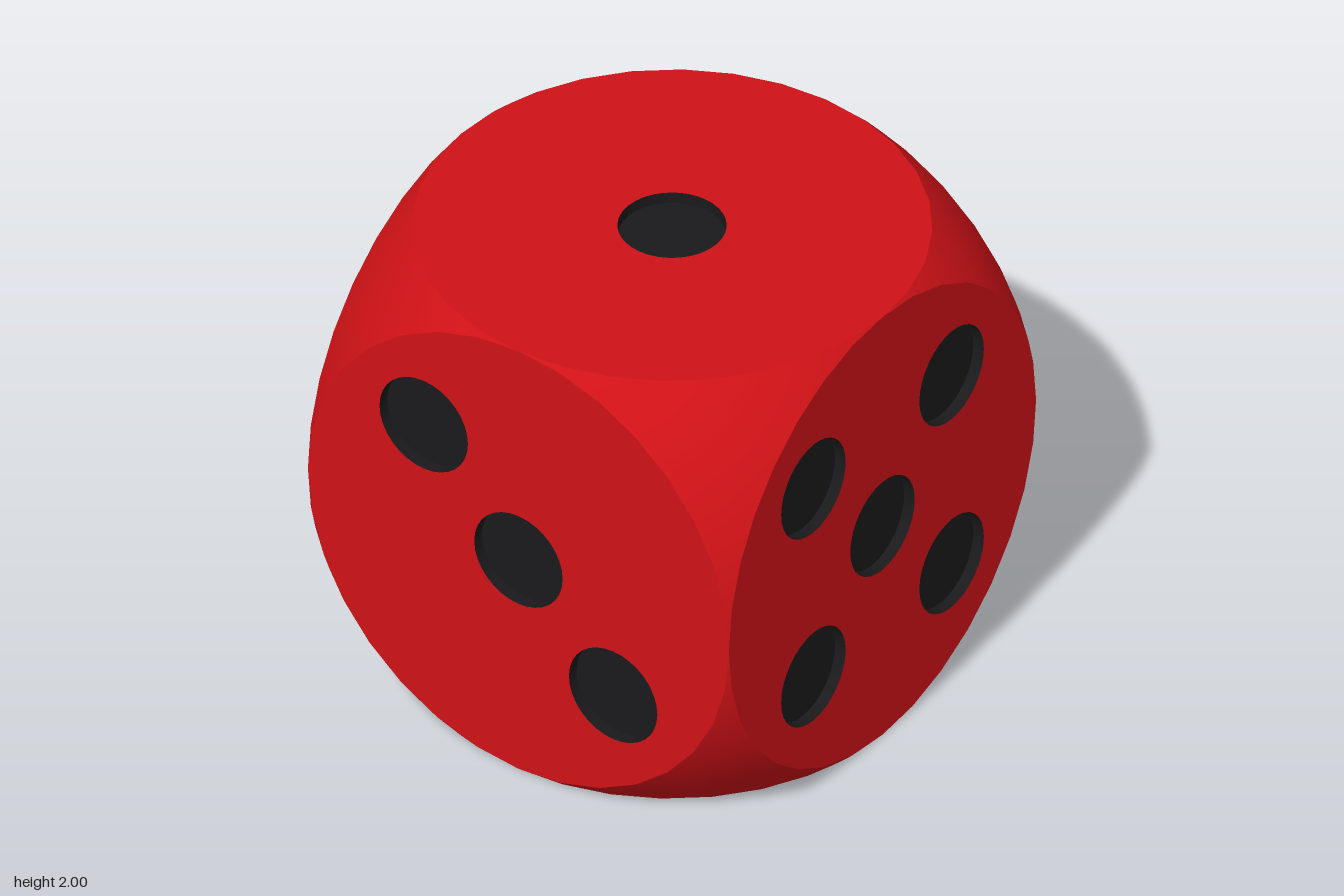
import * as THREE from 'three';

const SIDES = 32, PIP_R = 0.21, PIP_DEPTH = 0.05, S = 0.45, L = 0.5;
const red = new THREE.MeshStandardMaterial({ color: 0xd01217 });
const black = new THREE.MeshStandardMaterial({ color: 0x1a1a1c, side: THREE.DoubleSide });

const diagonal = [[-S, S], [S, -S]];
const square = [...diagonal, [-S, -S], [S, S]];

// Each face: name, rotation about x and y, pip positions
const FACES = [
  ['front', 0, 0, [...diagonal, [0, 0]]],
  ['back', 0, Math.PI, square],
  ['right', 0, Math.PI / 2, [...square, [0, 0]]],
  ['left', 0, -Math.PI / 2, diagonal],
  ['top', -Math.PI / 2, 0, [[0, 0]]],
  ['bottom', Math.PI / 2, 0, [-S, S].flatMap(x => [-L, 0, L].map(y => [x, y]))],
];

function circlePoints(cx, cy, r) {
  return Array.from({ length: SIDES }, (_, i) => {
    const a = (i / SIDES) * Math.PI * 2;
    return new THREE.Vector2(cx + r * Math.cos(a), cy + r * Math.sin(a));
  });
}

// Flat disc with round holes; triangulated at a tilt so no two holes line up
function discGeometry(pips) {
  const tilt = 0.31, origin = new THREE.Vector2();
  const turned = pts => pts.map(p => p.rotateAround(origin, tilt));
  const shape = new THREE.Shape(turned(circlePoints(0, 0, 1)));
  for (const [x, y] of pips) shape.holes.push(new THREE.Path(turned(circlePoints(x, y, PIP_R))));
  return new THREE.ShapeGeometry(shape).rotateZ(-tilt);
}

function named(geometry, material, name) {
  const mesh = new THREE.Mesh(geometry, material);
  mesh.name = name;
  return mesh;
}

function buildFace([name, rx, ry, pips]) {
  const face = new THREE.Group();
  face.name = name + 'Face';
  face.rotation.set(rx, ry, 0);
  const disc = named(discGeometry(pips), red, name + 'Disc');
  disc.position.z = 1;
  face.add(disc);
  // Shallow round recesses
  for (const [x, y] of pips) {
    const pip = new THREE.Group();
    pip.name = 'pip';
    pip.position.set(x, y, 1 - PIP_DEPTH);
    const wall = new THREE.CylinderGeometry(PIP_R, PIP_R, PIP_DEPTH, SIDES, 1, true)
      .rotateX(Math.PI / 2).translate(0, 0, PIP_DEPTH / 2);
    pip.add(named(wall, black, 'pipWall'));
    pip.add(named(new THREE.CircleGeometry(PIP_R, SIDES), black, 'pipFloor'));
    face.add(pip);
  }
  return face;
}

// Spherical corner between three discs: x² = 1-a, y² = 1-b, z² = 1-c with a+b+c = 1
function cornerGeometry(sx, sy, sz) {
  const n = SIDES / 4, pos = [], nor = [], index = [];
  const weight = i => Math.sin((Math.PI / 2) * (i / n)) ** 2;
  const id = (i, j) => (i * (2 * n + 3 - i)) / 2 + j;
  const flip = sx * sy * sz < 0;
  const tri = (a, b, c) => (flip ? index.push(a, c, b) : index.push(a, b, c));
  for (let i = 0; i <= n; i++) {
    for (let j = 0; j <= n - i; j++) {
      const w = [weight(i), weight(j), weight(n - i - j)];
      const sum = w[0] + w[1] + w[2];
      const [x, y, z] = w.map(v => Math.sqrt(Math.max(0, 1 - v / sum)));
      const p = new THREE.Vector3(sx * x, sy * y, sz * z);
      pos.push(...p);
      nor.push(...p.normalize());
      if (i + j < n) tri(id(i, j), id(i, j + 1), id(i + 1, j));
      if (i + j < n - 1) tri(id(i + 1, j), id(i, j + 1), id(i + 1, j + 1));
    }
  }
  // Make the winding face outwards
  for (let k = 0; k < index.length; k += 3) {
    [index[k + 1], index[k + 2]] = [index[k + 2], index[k + 1]];
  }
  const g = new THREE.BufferGeometry();
  g.setAttribute('position', new THREE.Float32BufferAttribute(pos, 3));
  g.setAttribute('normal', new THREE.Float32BufferAttribute(nor, 3));
  g.setIndex(index);
  return g;
}

export function createModel() {
  const die = new THREE.Group();
  die.name = 'die';
  const body = new THREE.Group();
  body.name = 'body';
  body.position.y = 1;
  for (const face of FACES) body.add(buildFace(face));
  for (const x of [-1, 1]) for (const y of [-1, 1]) for (const z of [-1, 1]) {
    body.add(named(cornerGeometry(x, y, z), red, 'roundedCorner'));
  }
  die.add(body);
  return die;
}
